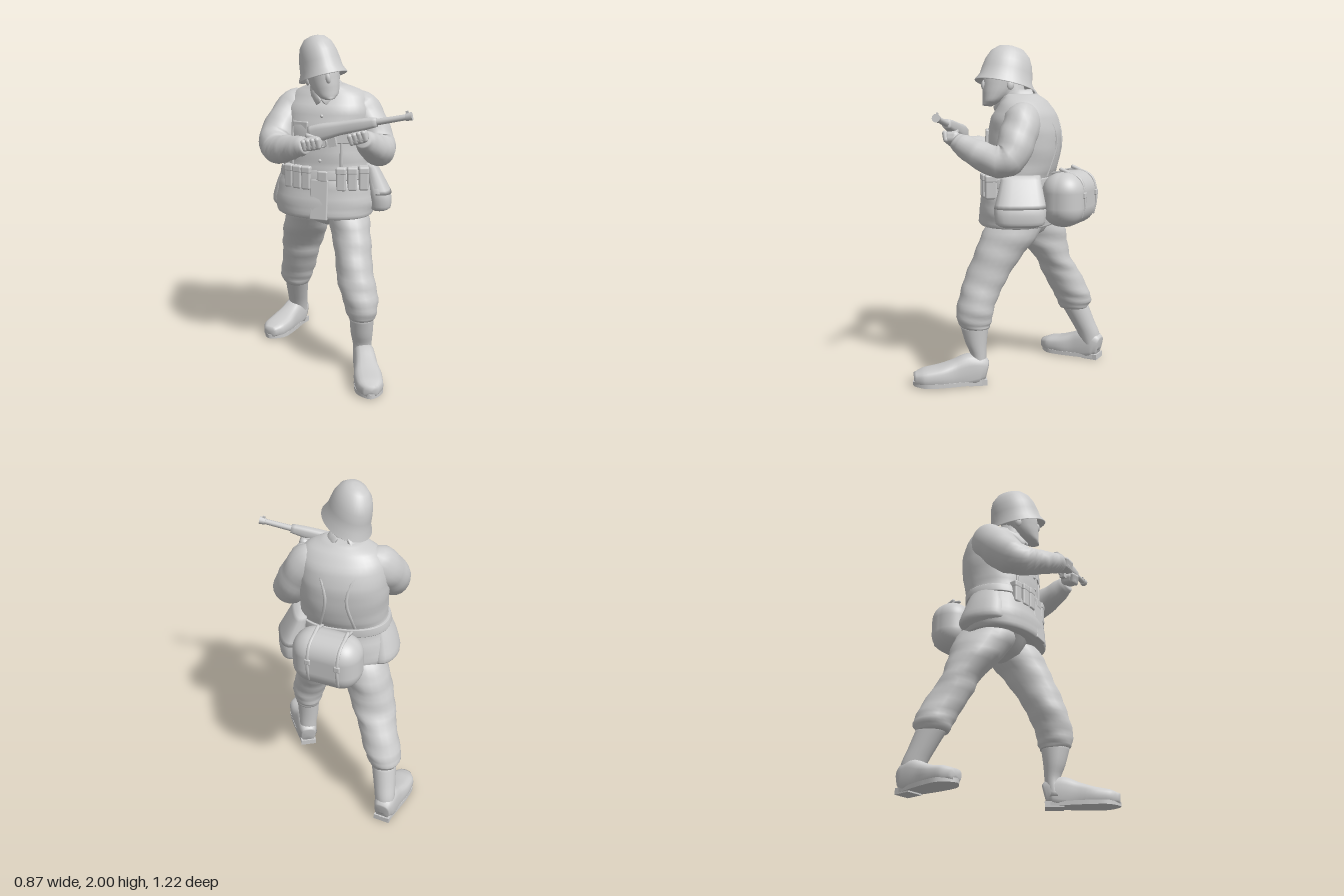
import * as THREE from 'three';
import { RoundedBoxGeometry } from 'three/addons/geometries/RoundedBoxGeometry.js';

const clay = new THREE.MeshStandardMaterial({ color: 0xcccccc });
clay.name = 'clay grey';
const V = (x, y, z) => new THREE.Vector3(x, y, z);

function add(parent, name, geo, pos = [0, 0, 0], rot = [0, 0, 0]) {
  const m = new THREE.Mesh(geo, clay);
  m.name = name;
  m.position.set(...pos);
  m.rotation.set(...rot);
  parent.add(m);
  return m;
}

function group(parent, name, pos, rot = [0, 0, 0]) {
  const g = new THREE.Group();
  g.name = name;
  g.position.set(...pos);
  g.rotation.set(...rot);
  parent.add(g);
  return g;
}

// Smooth skin through rings [x, y, z, halfWidth, halfDepth].
// Without ref the rings stay horizontal; with ref they follow the path.
function loft(rings, { ref = null, sides = 20, steps = 4, square = 1, fold = 0, floor = -1 } = {}) {
  const path = new THREE.CatmullRomCurve3(rings.map(r => V(r[0], r[1], r[2])));
  const size = new THREE.CatmullRomCurve3(rings.map(r => V(r[3], r[4], 0)));
  const count = (rings.length - 1) * steps, pos = [], idx = [];
  const put = p => pos.push(p.x, Math.max(p.y, floor), p.z);
  const soft = c => Math.sign(c) * Math.abs(c) ** square;
  for (let i = 0; i <= count; i++) {
    const c = path.getPoint(i / count), s = size.getPoint(i / count);
    let u = V(1, 0, 0), v = V(0, 0, -1);
    if (ref) {
      const t = path.getTangent(i / count);
      u = V(...ref).cross(t).normalize();
      v = t.cross(u);
    }
    for (let j = 0; j < sides; j++) {
      const a = j / sides * Math.PI * 2;
      const k = 1 + fold * (Math.sin(i * 1.7 + 2 * Math.sin(a)) + 0.6 * Math.sin(3 * a + i * 0.8));
      put(c.clone().addScaledVector(u, s.x * k * soft(Math.cos(a))).addScaledVector(v, s.y * k * soft(Math.sin(a))));
    }
  }
  put(path.getPoint(0));
  put(path.getPoint(1));
  const end = (count + 1) * sides;
  for (let j = 0; j < sides; j++) {
    const k = (j + 1) % sides, top = count * sides;
    for (let i = 0; i < count; i++) {
      const a = i * sides + j, b = i * sides + k;
      idx.push(a, b, a + sides, b, b + sides, a + sides);
    }
    idx.push(end, k, j, end + 1, top + j, top + k);
  }
  const g = new THREE.BufferGeometry();
  g.setAttribute('position', new THREE.Float32BufferAttribute(pos, 3));
  g.setIndex(idx);
  g.computeVertexNormals();
  return g;
}

// Flat band along points, facing ref
const strap = (pts, ref, w = 0.022) => loft(pts.map(p => [...p, w, 0.009]), { ref, sides: 8, square: 0.5 });

function boot(parent, name, pos, yaw, length) {
  const g = group(parent, name, pos, [0, yaw, 0]);
  g.scale.z = length / 0.44;
  add(g, 'bootUpper', loft([[0, 0.08, 0, 0.045, 0.06], [0, 0.09, 0.04, 0.062, 0.085], [0, 0.085, 0.1, 0.066, 0.1],
    [0, 0.07, 0.18, 0.07, 0.085], [0, 0.06, 0.28, 0.083, 0.062], [0, 0.055, 0.37, 0.078, 0.05], [0, 0.05, 0.432, 0.04, 0.032]],
  { ref: [0, 1, 0], square: 0.7, floor: 0.02 }));
  // Sole outline with a separate heel block
  const s = new THREE.Shape();
  s.moveTo(-0.045, 0);
  s.lineTo(0.045, 0);
  s.splineThru([[0.06, -0.1], [0.08, -0.26], [0.074, -0.37], [0, -0.438], [-0.074, -0.37], [-0.08, -0.26], [-0.06, -0.1], [-0.045, 0]]
    .map(p => new THREE.Vector2(...p)));
  add(g, 'bootSole', new THREE.ExtrudeGeometry(s, { depth: 0.025, bevelEnabled: false }), [0, 0.008, 0], [-Math.PI / 2, 0, 0]);
  add(g, 'bootHeel', new THREE.BoxGeometry(0.1, 0.035, 0.11), [0, 0.0175, 0.056]);
}

// Fist with knuckled fingers wrapped round the rifle
function hand(parent, name, pos, rot) {
  const g = group(parent, name, pos, rot);
  add(g, 'palm', new RoundedBoxGeometry(0.105, 0.075, 0.09, 3, 0.03));
  for (let i = 0; i < 4; i++)
    add(g, 'finger', new THREE.CapsuleGeometry(0.015, 0.04, 4, 8), [-0.04 + i * 0.027, 0, 0.035], [0.25, 0, 0]);
  add(g, 'thumb', new THREE.CapsuleGeometry(0.016, 0.05, 4, 8), [0, 0.035, -0.01], [0, 0, 1.1]);
}

export function createModel() {
  const man = new THREE.Group();
  man.name = 'soldier';

  // Legs: trousers bloused over tall boots
  add(man, 'leftTrouser', loft([[0.185, 0.345, 0.235, 0.075, 0.085], [0.182, 0.38, 0.24, 0.09, 0.102], [0.178, 0.45, 0.235, 0.104, 0.112],
    [0.155, 0.55, 0.205, 0.112, 0.12], [0.14, 0.66, 0.155, 0.11, 0.132], [0.13, 0.79, 0.085, 0.116, 0.15],
    [0.115, 0.91, 0.01, 0.125, 0.172], [0.09, 1.05, -0.05, 0.11, 0.13]], { fold: 0.022 }));
  add(man, 'rightTrouser', loft([[-0.21, 0.345, -0.42, 0.078, 0.09], [-0.212, 0.39, -0.42, 0.103, 0.112], [-0.2, 0.46, -0.395, 0.112, 0.118],
    [-0.182, 0.58, -0.33, 0.115, 0.12], [-0.168, 0.68, -0.28, 0.13, 0.11], [-0.15, 0.8, -0.21, 0.138, 0.15],
    [-0.125, 0.92, -0.155, 0.135, 0.18], [-0.1, 1.05, -0.1, 0.12, 0.13]], { fold: 0.022 }));
  add(man, 'seat', loft([[0, 0.85, -0.075, 0.03, 0.04], [-0.01, 0.89, -0.075, 0.11, 0.12], [-0.02, 1.0, -0.07, 0.2, 0.18]]));
  add(man, 'leftBootShaft', loft([[0.19, 0.06, 0.235, 0.058, 0.055], [0.19, 0.16, 0.218, 0.056, 0.046], [0.185, 0.25, 0.232, 0.066, 0.064], [0.183, 0.37, 0.242, 0.074, 0.088]]));
  add(man, 'rightBootShaft', loft([[-0.2, 0.06, -0.54, 0.055, 0.05], [-0.205, 0.16, -0.52, 0.062, 0.07], [-0.208, 0.25, -0.478, 0.068, 0.076], [-0.211, 0.37, -0.42, 0.078, 0.088]]));
  boot(man, 'leftBoot', [0.195, 0, 0.172], 0.05, 0.44);
  boot(man, 'rightBoot', [-0.175, 0, -0.585], -0.58, 0.41);

  // Tunic, twisted so the left shoulder leads: flared skirt, waist, chest, shoulders
  const torso = group(man, 'torso', [-0.02, 0, -0.05], [0, -0.36, 0]);
  add(torso, 'tunic', loft([[0, 0.965, 0, 0.24, 0.17], [0, 0.943, 0.01, 0.285, 0.22], [-0.005, 1.01, 0.01, 0.308, 0.225], [0, 1.12, 0.01, 0.29, 0.212],
    [0, 1.21, 0.005, 0.262, 0.198], [0, 1.3, -0.01, 0.255, 0.212], [0, 1.45, -0.025, 0.262, 0.218],
    [0.005, 1.58, -0.03, 0.258, 0.19], [0.01, 1.67, -0.03, 0.205, 0.13], [0.005, 1.715, -0.01, 0.1, 0.09]], { sides: 36, square: 0.9, fold: 0.008 }));
  add(torso, 'rightSkirtBulge', loft([[-0.22, 0.965, -0.01, 0.07, 0.12], [-0.245, 1.0, -0.01, 0.09, 0.15], [-0.235, 1.1, 0, 0.08, 0.13], [-0.215, 1.22, 0, 0.05, 0.09]]));
  add(torso, 'tunicFrontFlap', new RoundedBoxGeometry(0.11, 0.24, 0.02, 2, 0.008), [0.03, 1.06, 0.219], [-0.1, 0, 0]);
  add(torso, 'belt', loft([[0, 1.175, 0.005, 0.276, 0.207], [0, 1.18, 0.005, 0.28, 0.21], [0, 1.225, 0, 0.272, 0.208], [0, 1.23, 0, 0.268, 0.206]], { sides: 36, square: 0.9, steps: 2 }));
  add(torso, 'beltBuckle', new RoundedBoxGeometry(0.06, 0.06, 0.02, 2, 0.008), [0.05, 1.2, 0.21]);
  for (let i = 0; i < 4; i++)
    add(torso, 'button', new THREE.SphereGeometry(0.01, 8, 6), [0.03, 1.29 + i * 0.085, [0.2, 0.198, 0.19, 0.168][i]]);
  for (const s of [-1, 1]) {
    // Ammunition pouches in threes, chest pockets and collar points
    for (let i = 0; i < 3; i++) {
      const x = 0.05 + s * (0.1 + i * 0.058), z = 0.195 - x * x * 1.3, yaw = x * 1.4;
      add(torso, 'ammoPouch', new RoundedBoxGeometry(0.058, 0.13, 0.07, 2, 0.012), [x, 1.18, z], [0, yaw, 0]);
      add(torso, 'pouchLid', new RoundedBoxGeometry(0.062, 0.045, 0.074, 2, 0.012), [x, 1.233, z], [0, yaw, 0]);
    }
    add(torso, 'chestPocket', new RoundedBoxGeometry(0.11, 0.12, 0.02, 2, 0.008), [0.02 + s * 0.12, 1.45, 0.166], [-0.05, s * 0.3, 0]);
    add(torso, 'collar', strap([[0.02 + s * 0.015, 1.62, 0.145], [0.01 + s * 0.065, 1.68, 0.09], [s * 0.09, 1.715, 0], [s * 0.04, 1.72, -0.085]], [s, 0.4, 0.6], 0.025));
    // Braces over the shoulders to the belt
    add(torso, 'brace', strap([[s * 0.15, 1.23, 0.17], [s * 0.15, 1.45, 0.158], [s * 0.145, 1.61, 0.09], [s * 0.13, 1.69, -0.03],
      [s * 0.11, 1.61, -0.175], [s * 0.06, 1.45, -0.238], [s * 0.1, 1.24, -0.19]], [s * 0.9, 0.1, 0], 0.008));
  }

  // Arms bent towards the rifle
  add(man, 'rightSleeve', loft([[-0.11, 1.625, -0.12, 0.06, 0.06], [-0.19, 1.57, -0.125, 0.115, 0.108], [-0.275, 1.47, -0.06, 0.113, 0.105], [-0.32, 1.385, 0.02, 0.103, 0.1],
    [-0.31, 1.355, 0.11, 0.088, 0.085], [-0.25, 1.375, 0.205, 0.077, 0.072], [-0.185, 1.4, 0.28, 0.065, 0.06], [-0.145, 1.412, 0.31, 0.05, 0.045]], { ref: [0.7, 0.1, 0.7], fold: 0.025 }));
  add(man, 'leftSleeve', loft([[0.11, 1.62, -0.05, 0.06, 0.06], [0.18, 1.565, -0.045, 0.115, 0.108], [0.245, 1.46, -0.005, 0.11, 0.108], [0.285, 1.36, 0.045, 0.1, 0.1],
    [0.285, 1.34, 0.11, 0.092, 0.09], [0.238, 1.38, 0.215, 0.08, 0.08], [0.19, 1.43, 0.305, 0.064, 0.062], [0.17, 1.45, 0.34, 0.05, 0.045]], { ref: [-0.7, 0.1, 0.7], fold: 0.025 }));
  hand(man, 'rightHand', [-0.105, 1.425, 0.325], [0, -0.3, 0.2]);
  hand(man, 'leftHand', [0.15, 1.465, 0.355], [0, -0.3, 0.3]);

  // Head, turned a little to its left with the helmet pushed back
  add(man, 'neck', new THREE.CylinderGeometry(0.075, 0.09, 0.16, 16), [-0.03, 1.71, 0], [0.25, 0, 0]);
  const head = group(man, 'head', [-0.05, 1.795, 0.03], [-0.12, 0.2, 0.16]);
  add(head, 'face', loft([[0, -0.165, 0.105, 0.025, 0.03], [0, -0.14, 0.085, 0.058, 0.05], [0, -0.08, 0.045, 0.083, 0.095], [0, 0, 0.02, 0.097, 0.12], [0, 0.07, 0.01, 0.1, 0.12]]));
  add(head, 'nose', new THREE.SphereGeometry(0.02, 10, 8), [0, -0.045, 0.133]).scale.set(0.8, 1.6, 1);
  for (const s of [-1, 1]) add(head, 'ear', new THREE.SphereGeometry(0.025, 10, 8), [s * 0.092, -0.04, 0]).scale.set(0.5, 1.2, 0.9);
  const bowl = [[0.112, -0.01], [0.149, -0.045], [0.153, -0.041], [0.133, 0], [0.127, 0.05], [0.118, 0.1], [0.099, 0.15], [0.065, 0.187], [0.03, 0.198], [0, 0.2]];
  add(head, 'helmet', new THREE.LatheGeometry(bowl.map(p => new THREE.Vector2(...p)), 32), [0, 0.005, 0.003], [-0.12, 0, 0.04]).scale.set(0.93, 1, 1.22);

  // Rifle, built along its own x axis
  const rifle = group(man, 'rifle', [-0.1, 1.465, 0.29]);
  rifle.quaternion.setFromUnitVectors(V(1, 0, 0), V(0.53, 0.115, 0.16).normalize());
  add(rifle, 'rifleStock', loft([[-0.02, 0.005, 0, 0.03, 0.048], [0.05, 0.01, 0, 0.034, 0.048], [0.16, 0.014, 0, 0.032, 0.038], [0.28, 0.014, 0, 0.03, 0.034], [0.37, 0.014, 0, 0.024, 0.026]], { ref: [0, 1, 0], square: 0.7 }));
  add(rifle, 'barrel', new THREE.CylinderGeometry(0.016, 0.02, 0.36, 12), [0.38, 0.014, 0], [0, 0, -Math.PI / 2]);
  add(rifle, 'muzzle', new THREE.CylinderGeometry(0.024, 0.02, 0.035, 12), [0.55, 0.014, 0], [0, 0, -Math.PI / 2]);
  add(rifle, 'frontSight', new THREE.BoxGeometry(0.015, 0.03, 0.008), [0.545, 0.032, 0]);
  add(rifle, 'magazine', new THREE.BoxGeometry(0.045, 0.06, 0.03), [0.1, -0.05, 0]);
  add(rifle, 'triggerGuard', new THREE.TorusGeometry(0.025, 0.006, 6, 14), [0.04, -0.05, 0]);

  // Bag on the left hip
  add(man, 'hipBag', loft([[0.295, 0.965, -0.02, 0.045, 0.1], [0.3, 0.985, -0.02, 0.068, 0.14], [0.295, 1.06, -0.02, 0.074, 0.15], [0.265, 1.16, -0.025, 0.055, 0.128], [0.235, 1.25, -0.03, 0.035, 0.11]], { square: 0.75 }));
  add(man, 'hipBagLid', loft([[0.299, 1.075, -0.02, 0.072, 0.15], [0.269, 1.165, -0.025, 0.055, 0.13], [0.238, 1.254, -0.03, 0.036, 0.112]], { square: 0.72 }));

  // Rounded pack slung on the left of the back
  const pack = group(man, 'backPack', [0.115, 1.105, -0.33], [0, -0.55, 0]);
  add(pack, 'packBody', new RoundedBoxGeometry(0.41, 0.32, 0.25, 6, 0.115));
  for (const x of [-0.11, 0.07]) {
    add(pack, 'packStrap', strap([[x, 0.15, 0.08], [x, 0.162, 0], [x, 0.12, -0.1], [x, 0, -0.128], [x, -0.1, -0.11]], [1, 0, 0], 0.007));
    add(pack, 'strapBuckle', new RoundedBoxGeometry(0.035, 0.035, 0.016, 2, 0.006), [x, 0.03, -0.127]);
    add(pack, 'strapLoop', new THREE.CapsuleGeometry(0.012, 0.05, 4, 8), [x, 0.165, 0], [1.2, 0, 0]);
  }
  return man;
}
